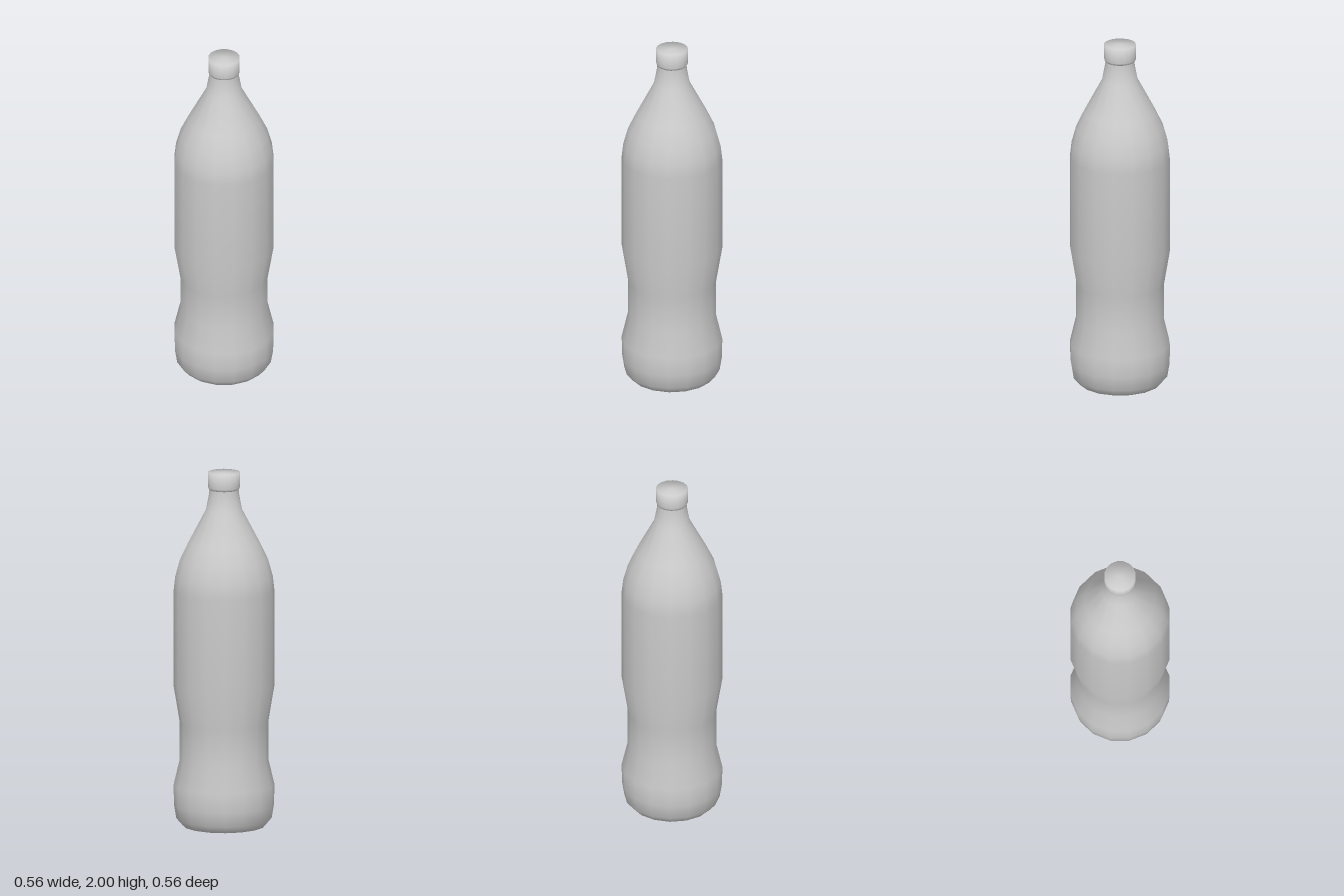
import * as THREE from 'three';

const SIDES = 16;

// Smooth 16-sided solid of revolution from [radius, height] pairs, bottom to top
function turned(name, profile) {
  const points = profile.map(([r, y]) => new THREE.Vector2(r, y));
  const material = new THREE.MeshStandardMaterial({ color: 0xcccccc });
  const mesh = new THREE.Mesh(new THREE.LatheGeometry(points, SIDES), material);
  mesh.name = name;
  return mesh;
}

export function createModel() {
  const bottle = new THREE.Group();
  bottle.name = 'bottle';

  bottle.add(turned('body', [
    // moulding nub and hollow underside
    [0, 0.045], [0.025, 0.05], [0.042, 0.075], [0.045, 0.1],
    [0.11, 0.085], [0.17, 0.055], [0.21, 0.012],
    // foot and lower bulge
    [0.23, 0], [0.265, 0.04], [0.278, 0.12], [0.28, 0.23],
    // waist grip
    [0.246, 0.375], [0.246, 0.585],
    // main barrel
    [0.28, 0.79], [0.28, 1.33],
    // shoulder
    [0.271, 1.41], [0.245, 1.505], [0.2, 1.6],
    // neck
    [0.1, 1.79], [0.083, 1.88], [0.08, 1.92],
  ]));

  bottle.add(turned('cap', [
    [0.07, 1.9], [0.083, 1.902], [0.089, 1.915], [0.089, 2], [0, 2],
  ]));

  return bottle;
}
